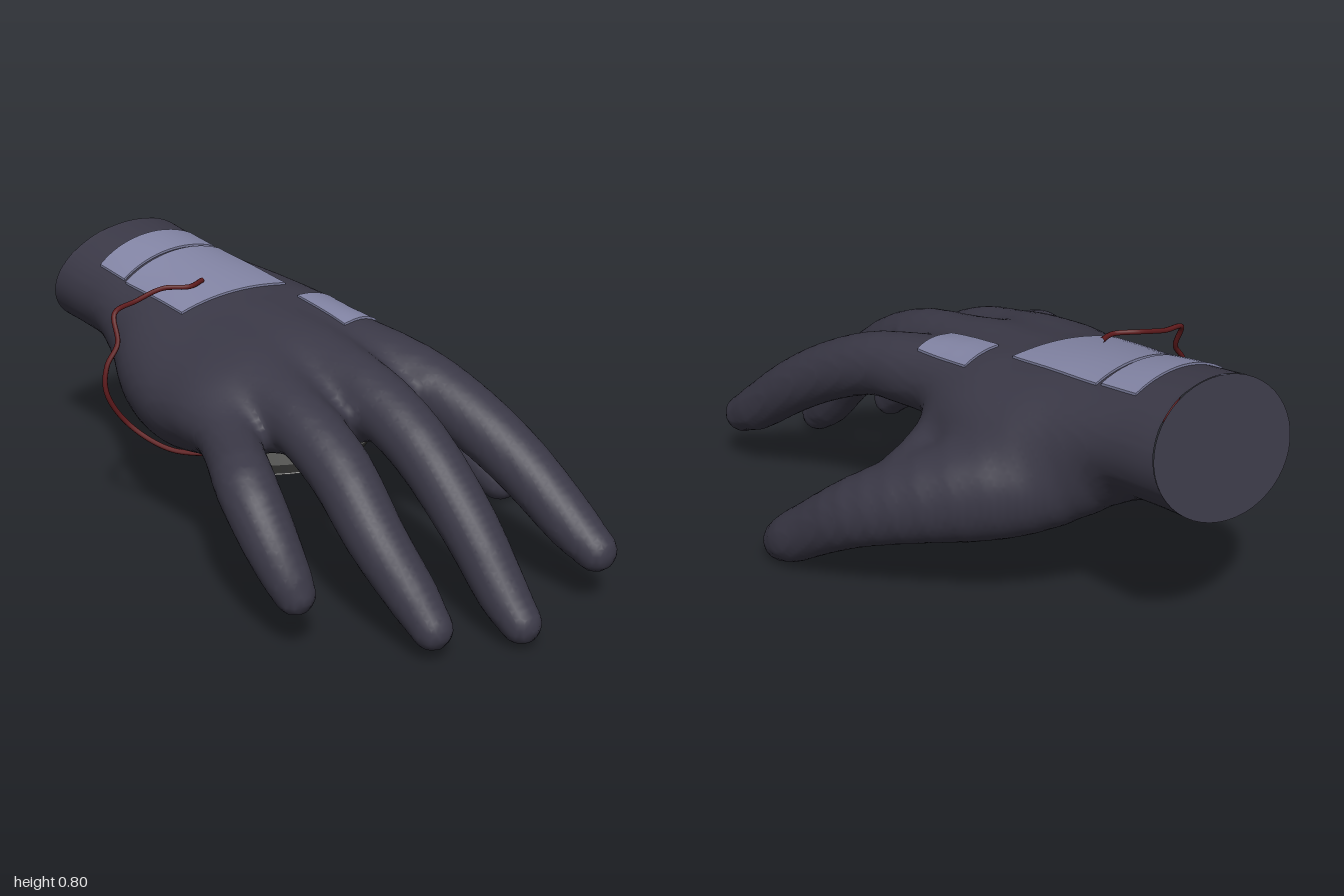
import * as THREE from 'three';

const paint = (color) => new THREE.MeshStandardMaterial({ color });
const V = (x, y, z) => new THREE.Vector3(x, y, z);

// Palm and wrist: [z, centre x, half width, top, bottom, roll] of each oval section
const PALM = [
  [-1.02, -0.065, 0.265, 0.815, 0.43, 0],
  [-0.88, -0.065, 0.265, 0.80, 0.425, 0],
  [-0.72, -0.065, 0.268, 0.78, 0.405, 0],
  [-0.56, -0.065, 0.305, 0.755, 0.345, 0.02],
  [-0.4, -0.075, 0.365, 0.732, 0.305, 0.05],
  [-0.2, -0.09, 0.395, 0.703, 0.315, 0.07],
  [0.04, -0.135, 0.35, 0.662, 0.365, 0.07],
  [0.2, -0.085, 0.285, 0.6, 0.392, 0.07],
  [0.32, -0.05, 0.16, 0.54, 0.425, 0.05],
];

// Fingers and palm muscles as [x, y, z, radius] along the bones
const LIMBS = {
  little: [[-0.3, 0.51, -0.15, 0.085], [-0.395, 0.475, 0.04, 0.092], [-0.475, 0.45, 0.2, 0.085], [-0.548, 0.42, 0.35, 0.087],
    [-0.565, 0.31, 0.47, 0.08], [-0.56, 0.22, 0.54, 0.068], [-0.555, 0.18, 0.565, 0.058]],
  ring: [[-0.22, 0.55, -0.15, 0.09], [-0.26, 0.54, 0.05, 0.1], [-0.283, 0.515, 0.26, 0.095], [-0.297, 0.435, 0.45, 0.093],
    [-0.315, 0.3, 0.62, 0.085], [-0.3, 0.165, 0.76, 0.073], [-0.295, 0.095, 0.835, 0.06]],
  middle: [[-0.05, 0.575, -0.15, 0.09], [-0.05, 0.572, 0.06, 0.103], [-0.055, 0.55, 0.3, 0.098], [-0.055, 0.465, 0.51, 0.092],
    [-0.055, 0.285, 0.73, 0.083], [-0.055, 0.13, 0.87, 0.073], [-0.055, 0.07, 0.94, 0.06]],
  index: [[0.1, 0.57, -0.2, 0.09], [0.12, 0.565, 0.0, 0.103], [0.163, 0.54, 0.26, 0.1], [0.205, 0.46, 0.47, 0.095],
    [0.24, 0.355, 0.65, 0.088], [0.265, 0.225, 0.83, 0.077], [0.272, 0.175, 0.915, 0.063]],
  thumb: [[0.02, 0.52, -0.65, 0.11], [0.13, 0.44, -0.5, 0.15], [0.25, 0.387, -0.36, 0.162], [0.4, 0.325, -0.19, 0.134],
    [0.5, 0.255, -0.04, 0.107], [0.547, 0.158, 0.11, 0.088], [0.567, 0.097, 0.2, 0.08], [0.57, 0.065, 0.25, 0.067]],
  thumbWeb: [[0.18, 0.48, -0.13, 0.08], [0.27, 0.44, -0.13, 0.08], [0.36, 0.38, -0.13, 0.08]],
  heel: [[-0.19, 0.52, -0.55, 0.12], [-0.28, 0.45, -0.36, 0.14], [-0.34, 0.435, -0.2, 0.128], [-0.37, 0.45, -0.02, 0.1]],
};

const blend = (a, b, k) => Math.min(a, b) - Math.max(k - Math.abs(a - b), 0) ** 2 / (4 * k);

// Signed distance to the hand: oval palm and tapered limbs, softly merged
const sections = new THREE.CubicInterpolant(PALM.map((r) => r[0]), PALM.flatMap((r) => r.slice(1)), 5);
function palmDistance(x, y, z) {
  const [cx, w, top, bottom, roll] = sections.evaluate(z);
  const h = (top - bottom) / 2, dx = x - cx, dy = y - (top + bottom) / 2 - roll * dx;
  const k = Math.hypot(dx / w, dy / h);
  const slope = Math.hypot(dx / w ** 2, dy / h ** 2) || 1;
  return Math.max(k * (k - 1) / slope, z - 0.32);
}

const chains = Object.values(LIMBS).map((rows) => {
  const path = new THREE.CatmullRomCurve3(rows.map((r) => V(r[0], r[1], r[2])));
  const radius = new THREE.SplineCurve(rows.map((r, i) => new THREE.Vector2(i, r[3])));
  return Array.from({ length: 19 }, (_, i) => [...path.getPoint(i / 18).toArray(), radius.getPoint(i / 18).y]);
});
function chainDistance(chain, x, y, z) {
  let best = Infinity;
  for (let i = 1; i < chain.length; i++) {
    const a = chain[i - 1], b = chain[i];
    const ex = b[0] - a[0], ey = b[1] - a[1], ez = b[2] - a[2];
    const px = x - a[0], py = y - a[1], pz = z - a[2];
    const t = Math.min(1, Math.max(0, (px * ex + py * ey + pz * ez) / (ex * ex + ey * ey + ez * ez)));
    const gap = Math.sqrt((px - t * ex) ** 2 + (py - t * ey) ** 2 + (pz - t * ez) ** 2);
    best = Math.min(best, gap - a[3] - t * (b[3] - a[3]));
  }
  return best;
}

function handDistance(x, y, z) {
  let d = Infinity;
  for (const chain of chains) d = blend(d, chainDistance(chain, x, y, z), 0.045);
  return blend(d, palmDistance(x, y, z), 0.08);
}

// Skin the distance field on a grid, cut off by the slanted wrist plane
const wristZ = (y) => -0.94 + 0.324 * (y - 0.615);
function skinGeometry() {
  const h = 0.018, min = [-0.73, -0.06, -1.09], n = [82, 53, 120];
  const step = [1, n[0], n[0] * n[1]];
  const values = new Float32Array(n[0] * n[1] * n[2]);
  const coords = (c) => [c % n[0], Math.floor(c / n[0]) % n[1], Math.floor(c / step[2])];
  for (let c = 0; c < values.length; c++) values[c] = handDistance(...coords(c).map((g, a) => min[a] + g * h));

  const points = [], index = [], known = new Map();
  // one point per cell, at the mean of its edge crossings
  const cellPoint = (c) => {
    if (known.has(c)) return known.get(c);
    const sum = [0, 0, 0];
    let count = 0;
    for (let a = 0; a < 3; a++) {
      const u = (a + 1) % 3, v = (a + 2) % 3;
      for (const [s, t] of [[0, 0], [1, 0], [0, 1], [1, 1]]) {
        const p = values[c + s * step[u] + t * step[v]], q = values[c + s * step[u] + t * step[v] + step[a]];
        if (p < 0 === q < 0) continue;
        sum[a] += p / (p - q);
        sum[u] += s;
        sum[v] += t;
        count++;
      }
    }
    points.push(V(...coords(c).map((g, a) => min[a] + h * (g + sum[a] / count))));
    known.set(c, points.length - 1);
    return points.length - 1;
  };
  for (let c = 0; c < values.length; c++) {
    if (coords(c).some((g, a) => g < 1 || g > n[a] - 2)) continue;
    for (let a = 0; a < 3; a++) {
      const inside = values[c] < 0;
      if (inside === values[c + step[a]] < 0) continue;
      const u = step[(a + 1) % 3], v = step[(a + 2) % 3];
      const q = [c, c - u, c - u - v, c - v].map(cellPoint);
      if (q.every((i) => points[i].z < wristZ(points[i].y))) continue;
      if (!inside) q.reverse();
      index.push(q[0], q[1], q[2], q[0], q[2], q[3]);
    }
  }
  for (const p of points) p.z = Math.max(p.z, wristZ(p.y));
  const geo = new THREE.BufferGeometry().setFromPoints(points);
  geo.setIndex(index);
  geo.computeVertexNormals();
  return geo;
}

// Height of the back of the hand, found by stepping down onto it
function backHeight(x, z) {
  let y = 0.9;
  for (let i = 0; i < 60; i++) y -= handDistance(x, y, z) * 0.8;
  return y;
}

export function createModel() {
  const model = new THREE.Group();
  model.name = 'glovedHand';
  const add = (name, geometry, material, parent = model) => {
    const mesh = new THREE.Mesh(geometry, material);
    mesh.name = name;
    parent.add(mesh);
    return mesh;
  };

  // Glove with a flat wrist cut
  const fabric = paint(0x3a3846);
  add('glove', skinGeometry(), fabric);
  const cut = new THREE.CircleGeometry(1, 48).scale(0.265, 0.1945, 1).rotateY(Math.PI).rotateX(Math.atan(0.324));
  add('wristCut', cut, fabric).position.set(-0.065, 0.615, -0.942);

  // Plates lying on the back of the hand
  const plateMaterial = paint(0x8284a4);
  const plate = (name, x0, x1, z0, z1, skew) => {
    const geo = new THREE.BoxGeometry(x1 - x0, 2, z1 - z0, 14, 1, 12);
    geo.translate((x0 + x1) / 2, 0, (z0 + z1) / 2);
    const p = geo.attributes.position;
    for (let i = 0; i < p.count; i++) {
      const x = p.getX(i);
      const z = p.getZ(i) + skew * (x - x0) * (p.getZ(i) - z0) / (z1 - z0);
      p.setXYZ(i, x, backHeight(x, z) + (p.getY(i) > 0 ? 0.007 : -0.02), z);
    }
    geo.computeVertexNormals();
    add(name, geo, plateMaterial);
  };
  plate('wristPlate', -0.27, 0.09, -0.755, -0.622, 0);
  plate('handPlate', -0.275, 0.095, -0.607, -0.31, 0.13);
  plate('knucklePlate', 0.06, 0.19, -0.16, 0.06, 0);

  // Disc held under the palm
  const disc = new THREE.Group();
  disc.name = 'palmDisc';
  disc.position.set(-0.07, 0.268, -0.07);
  disc.rotation.x = -0.1;
  model.add(disc);
  const metal = paint(0x5c5c5a);
  add('discBody', new THREE.CylinderGeometry(0.28, 0.28, 0.1, 40), metal, disc).position.y = 0.085;
  add('discBevel', new THREE.CylinderGeometry(0.28, 0.257, 0.035, 40), paint(0x454544), disc).position.y = 0.0175;
  add('discFace', new THREE.CylinderGeometry(0.255, 0.255, 0.006, 40), paint(0xa0a09e), disc).position.y = -0.002;

  // Wire from the hand plate round the side to the disc
  const wire = new THREE.CatmullRomCurve3([
    V(-0.135, 0.737, -0.39), V(-0.2, 0.735, -0.37), V(-0.27, 0.735, -0.41), V(-0.37, 0.715, -0.415),
    V(-0.46, 0.7, -0.4), V(-0.48, 0.62, -0.36), V(-0.525, 0.56, -0.355), V(-0.535, 0.48, -0.35),
    V(-0.475, 0.365, -0.33), V(-0.4, 0.295, -0.22), V(-0.3, 0.29, -0.1),
  ]);
  add('wire', new THREE.TubeGeometry(wire, 90, 0.008, 8), paint(0x5e1a1c));

  return model;
}
